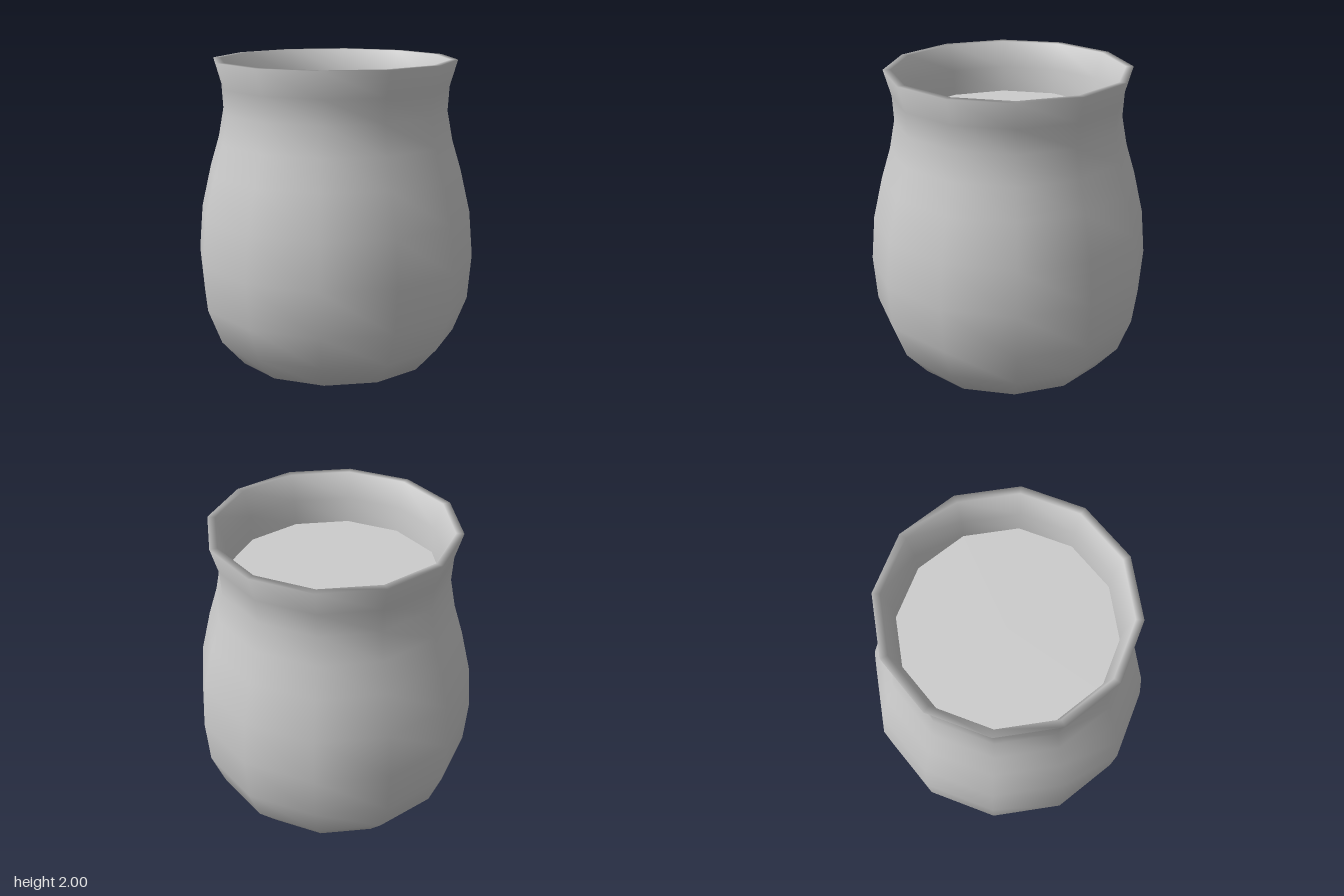
import * as THREE from 'three';

const SIDES = 12;

export function createModel() {
  const group = new THREE.Group();
  const material = new THREE.MeshStandardMaterial({ color: 0xcccccc });

  // Pot wall: base centre, up the belly, over the lip, down inside the neck
  const profile = [
    [0, 0], [0.66, 0], [0.81, 0.17], [0.9, 0.4], [0.925, 0.7], [0.9, 1.0],
    [0.835, 1.28], [0.775, 1.48], [0.74, 1.67], [0.75, 1.83], [0.8, 2.0],
    [0.75, 2.0], [0.7, 1.83], [0.69, 1.66],
  ].map(([r, y]) => new THREE.Vector2(r, y));
  const pot = new THREE.Mesh(new THREE.LatheGeometry(profile, SIDES), material);
  pot.name = 'pot';

  // Flat fill closing the neck
  const fill = new THREE.Mesh(new THREE.CircleGeometry(0.69, SIDES), material);
  fill.name = 'fillSurface';
  fill.rotation.x = -Math.PI / 2;
  fill.position.y = 1.66;

  group.add(pot, fill);
  return group;
}
